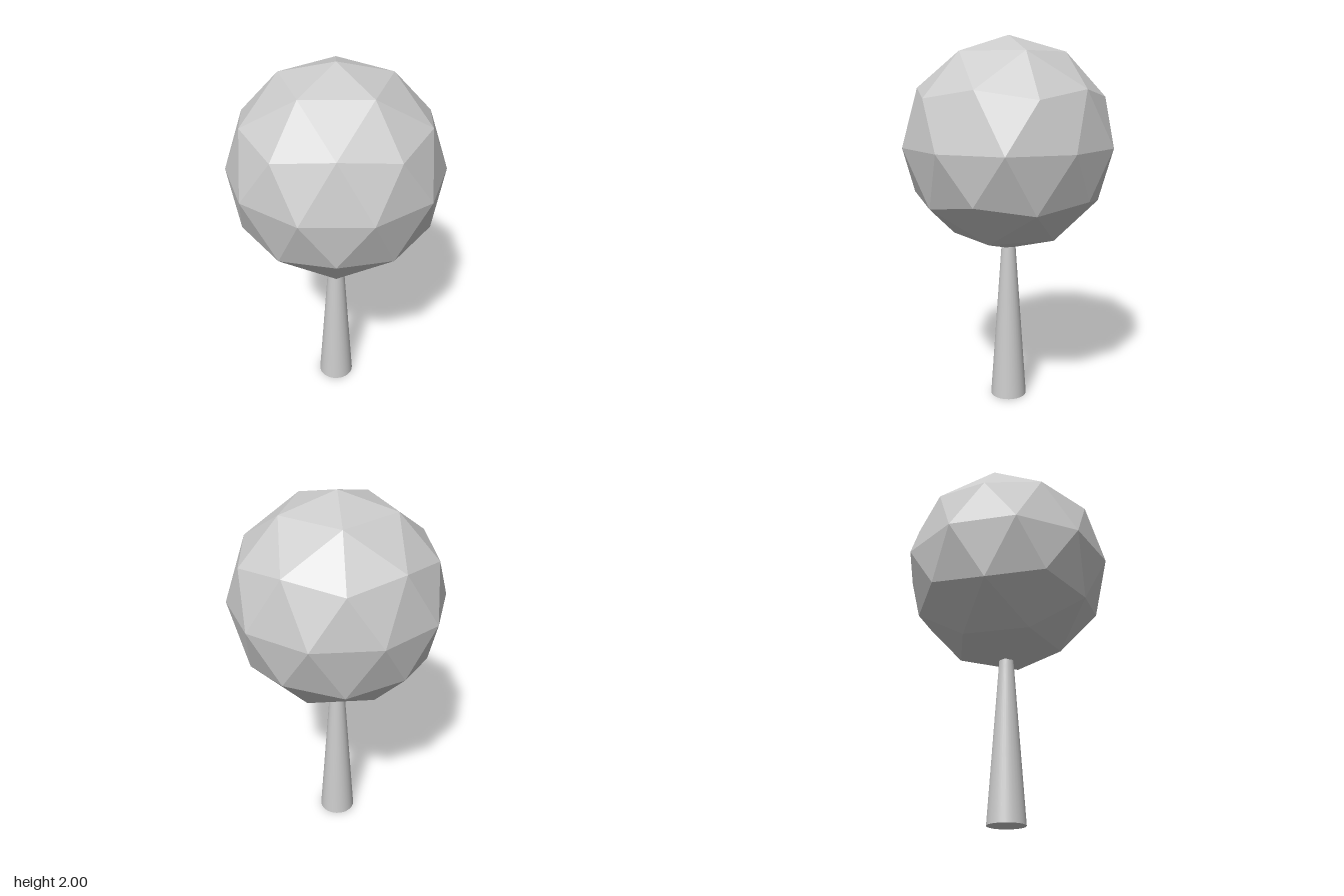
import * as THREE from 'three';

export function createModel() {
  const group = new THREE.Group();
  group.name = 'tree';

  // Faceted crown: icosphere turned so one corner points straight up
  const radius = 0.57;
  const crownGeometry = new THREE.IcosahedronGeometry(radius, 1);
  crownGeometry.rotateZ(-Math.atan(2 / (1 + Math.sqrt(5))));
  crownGeometry.computeVertexNormals();
  const crown = new THREE.Mesh(
    crownGeometry,
    new THREE.MeshStandardMaterial({ color: 0xcccccc, flatShading: true })
  );
  crown.name = 'crown';
  crown.position.y = 2 - radius;
  group.add(crown);

  // Smooth tapered trunk, its top sunk into the crown
  const trunkHeight = 1;
  const trunk = new THREE.Mesh(
    new THREE.CylinderGeometry(0.03, 0.1, trunkHeight, 32),
    new THREE.MeshStandardMaterial({ color: 0xcccccc })
  );
  trunk.name = 'trunk';
  trunk.position.y = trunkHeight / 2;
  group.add(trunk);

  return group;
}
